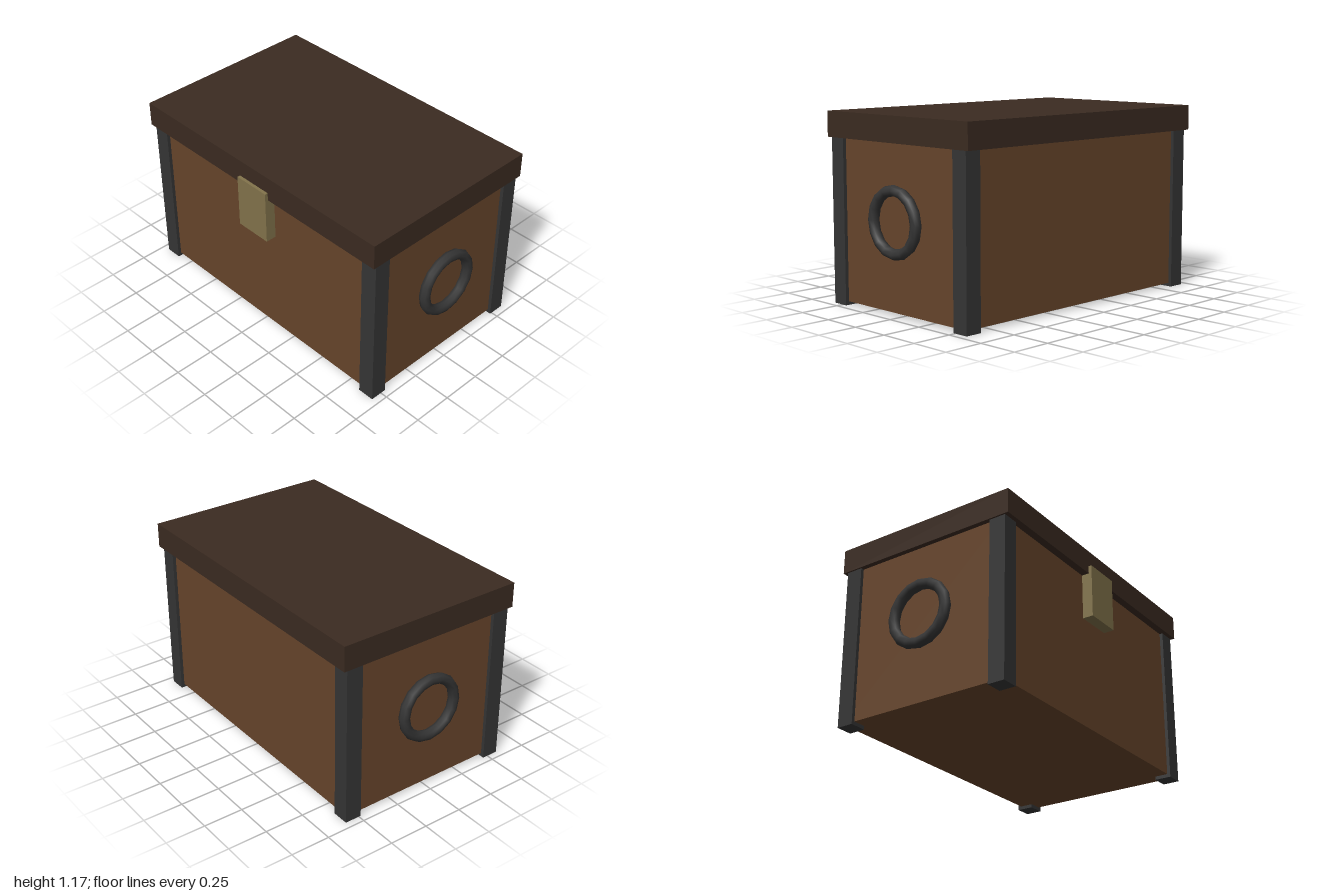
import * as THREE from 'three';

export function createModel() {
  const chest = new THREE.Group();
  chest.name = 'chest';
  const material = (name, color) => {
    const m = new THREE.MeshStandardMaterial({ color });
    m.name = name;
    return m;
  };
  const wood = material('brown wood', 0x67452b);
  const darkWood = material('dark wood', 0x3b2b21);
  const iron = material('dark iron', 0x353535);
  const brass = material('dull brass', 0x82734b);

  const midZ = -0.01; // the clasp shifts the box slightly back

  const add = (name, geometry, mat, x, y, z) => {
    const mesh = new THREE.Mesh(geometry, mat);
    mesh.name = name;
    mesh.position.set(x, y, z);
    chest.add(mesh);
    return mesh;
  };
  // Box given by its bottom and top heights
  const box = (name, mat, w, d, y0, y1, x, z) =>
    add(name, new THREE.BoxGeometry(w, y1 - y0, d), mat, x, (y0 + y1) / 2, z);

  // Body and lid
  box('body', wood, 1.866, 1.124, 0.022, 1.03, 0, midZ);
  box('lid', darkWood, 1.93, 1.22, 1.01, 1.166, 0, midZ);

  // Clasp on the front
  box('clasp', brass, 0.24, 0.08, 0.718, 1.06, 0, 0.58);

  for (const side of [1, -1]) {
    const sideName = side > 0 ? 'left' : 'right';

    // Corner posts
    for (const end of [1, -1]) {
      box(`${sideName}${end > 0 ? 'Front' : 'Back'}Post`, iron,
        0.106, 0.106, 0, 1.03, side * 0.902, midZ + end * 0.53);
    }

    // Ring handle lying flat against the side
    const ring = add(`${sideName}RingHandle`,
      new THREE.TorusGeometry(0.185, 0.033, 8, 16), iron, side * 0.967, 0.558, midZ);
    ring.rotation.y = side * Math.PI / 2;
  }
  return chest;
}
